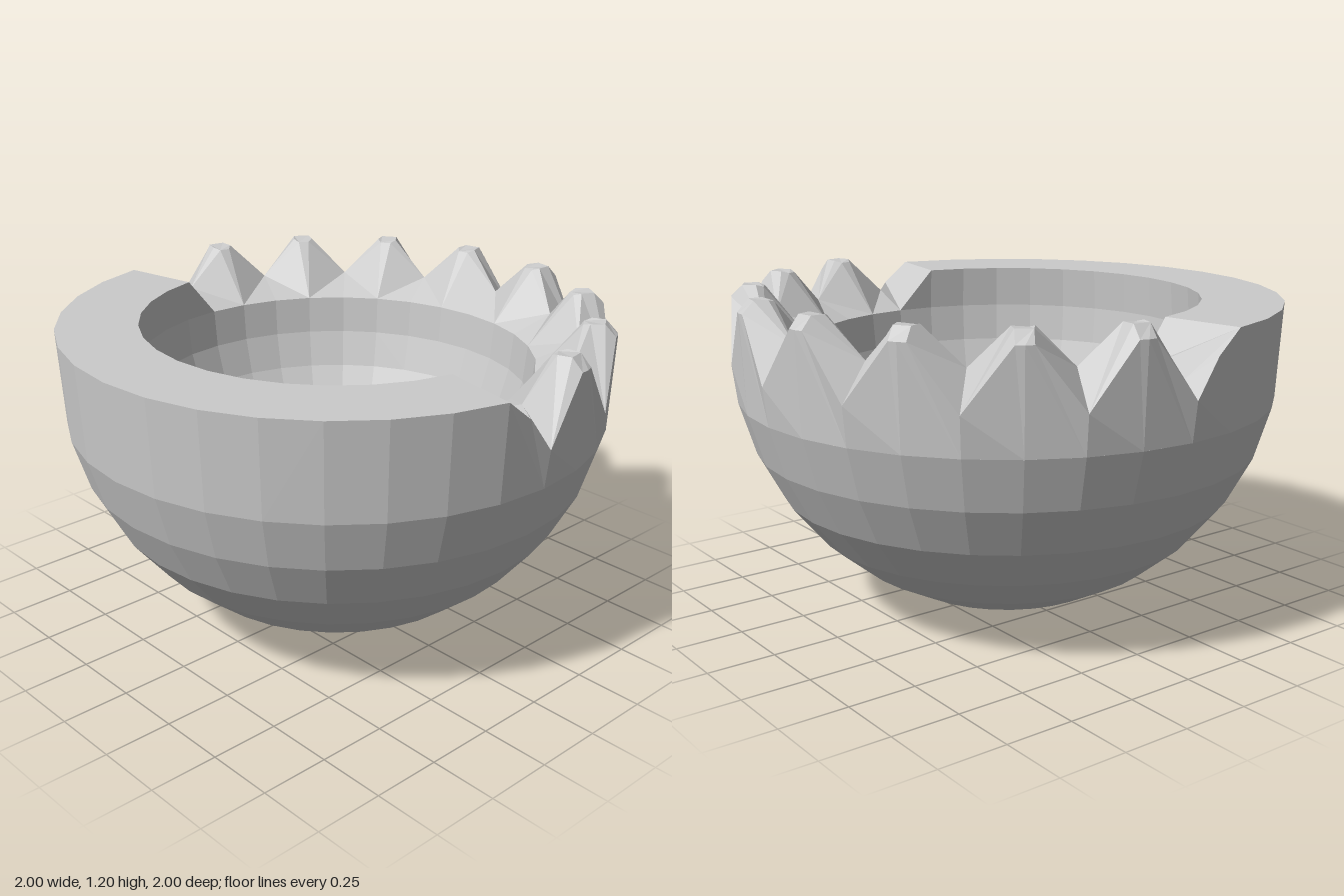
import * as THREE from 'three';

const SEG = 32, STEP = (2 * Math.PI) / SEG;
const RIM_Y = 1.155, BAND_Y = 0.805, BAND_R = 0.981, IN_R = 0.72;

// Point at rim step k (0 = +x, 8 = front, 24 = back), with an optional sideways offset u
const at = (k, r, y, u = 0) => {
  const c = Math.cos(k * STEP), s = Math.sin(k * STEP);
  return new THREE.Vector3(r * c - u * s, y, r * s + u * c);
};

// Gathers flat polygons and turns each one to face a given direction
function facets() {
  const out = [];
  return {
    add(points, toward) {
      const n = new THREE.Vector3();
      for (let i = 1; i < points.length - 1; i++) {
        const a = points[i].clone().sub(points[0]);
        n.add(a.cross(points[i + 1].clone().sub(points[0])));
      }
      const p = n.dot(toward) < 0 ? [...points].reverse() : points;
      for (let i = 1; i < p.length - 1; i++) {
        for (const v of [p[0], p[i], p[i + 1]]) out.push(v.x, v.y, v.z);
      }
    },
    geometry() {
      const g = new THREE.BufferGeometry();
      g.setAttribute('position', new THREE.Float32BufferAttribute(out, 3));
      g.computeVertexNormals();
      return g;
    },
  };
}

export function createModel() {
  const group = new THREE.Group();
  const material = new THREE.MeshStandardMaterial({ color: 0xcccccc, flatShading: true });
  const add = (name, geometry) => {
    const mesh = new THREE.Mesh(geometry, material);
    mesh.name = name;
    group.add(mesh);
  };
  const up = new THREE.Vector3(0, 1, 0);

  // Half-sphere profiles centred on y = 1
  const profile = (radius, rings) => Array.from({ length: rings + 1 }, (_, i) =>
    new THREE.Vector2(radius * Math.sin(i * STEP), 1 - radius * Math.cos(i * STEP)));
  add('outerShell', new THREE.LatheGeometry(profile(1, 7), SEG));
  add('innerHollow', new THREE.LatheGeometry(profile(IN_R, 8).reverse(), SEG));

  // Valley between two teeth: inner end, crest and outer end
  const valleyIn = (k) => at(k, IN_R, 1);
  const valleyTop = (k) => at(k, 0.87, 1.065);
  const valleyOut = (k) => at(k, 0.998, 0.945);

  // Smooth front rim
  const rim = facets();
  for (let k = 1; k < 15; k++) {
    const outward = at(k + 0.5, 1, 0);
    const oA = at(k, 1, RIM_Y), oB = at(k + 1, 1, RIM_Y);
    const iA = at(k, 0.708, RIM_Y), iB = at(k + 1, 0.708, RIM_Y);
    rim.add([at(k, BAND_R, BAND_Y), at(k + 1, BAND_R, BAND_Y), oB, oA], outward);
    rim.add([oA, oB, iB, iA], up);
    rim.add([valleyIn(k), valleyIn(k + 1), iB, iA], outward.clone().negate());
  }
  add('frontRim', rim.geometry());

  // Slopes from each end of the rim down to the first valley
  const slopes = facets();
  for (const [v, k] of [[0, 1], [16, 15]]) {
    const outward = at((v + k) / 2, 1, 0);
    const rimOut = at(k, 1, RIM_Y), rimIn = at(k, 0.708, RIM_Y);
    const corner = at((v + k) / 2, 0.993, 1.075);
    const notch = at(v, 0.935, 1.005);
    slopes.add([rimOut, rimIn, valleyIn(v), valleyTop(v), notch, corner], up);
    slopes.add([notch, corner, valleyOut(v)], up);
    slopes.add([at(k, BAND_R, BAND_Y), rimOut, corner, valleyOut(v), at(v, BAND_R, BAND_Y)], outward);
    slopes.add([valleyIn(k), rimIn, valleyIn(v)], outward.clone().negate());
  }
  add('rimEndSlopes', slopes.geometry());

  // Eight pointed teeth round the back
  for (let k = 17; k < 32; k += 2) {
    const tooth = facets();
    const outward = at(k, 1, 0);
    const capIn = (s) => at(k, 0.875, 1.195, s * 0.02);
    const capMid = (s) => at(k, 0.9, 1.203, s * 0.037);
    const capOut = (s) => at(k, 0.95, 1.203, s * 0.03);
    const bevel = (s) => at(k, 0.99, 1.16, s * 0.03);
    const bevelMid = at(k, 0.995, 1.16);

    tooth.add([capIn(-1), capIn(1), capMid(1), capOut(1), capOut(-1), capMid(-1)], up);
    tooth.add([capOut(-1), capOut(1), bevel(1), bevelMid, bevel(-1)], up);
    // Inner slope
    tooth.add([valleyIn(k), valleyIn(k + 1), valleyTop(k + 1), capIn(1), capIn(-1),
      valleyTop(k - 1), valleyIn(k - 1)], up);
    for (const s of [-1, 1]) {
      const side = at(k, 0, 0.5, s);
      tooth.add([capIn(s), capMid(s), valleyTop(k + s)], up);
      tooth.add([valleyTop(k + s), capMid(s), capOut(s), bevel(s), valleyOut(k + s)], side);
      tooth.add([at(k, BAND_R, BAND_Y), bevelMid, bevel(s), valleyOut(k + s),
        at(k + s, BAND_R, BAND_Y)], outward);
    }
    add('tooth' + (k - 15) / 2, tooth.geometry());
  }
  return group;
}
